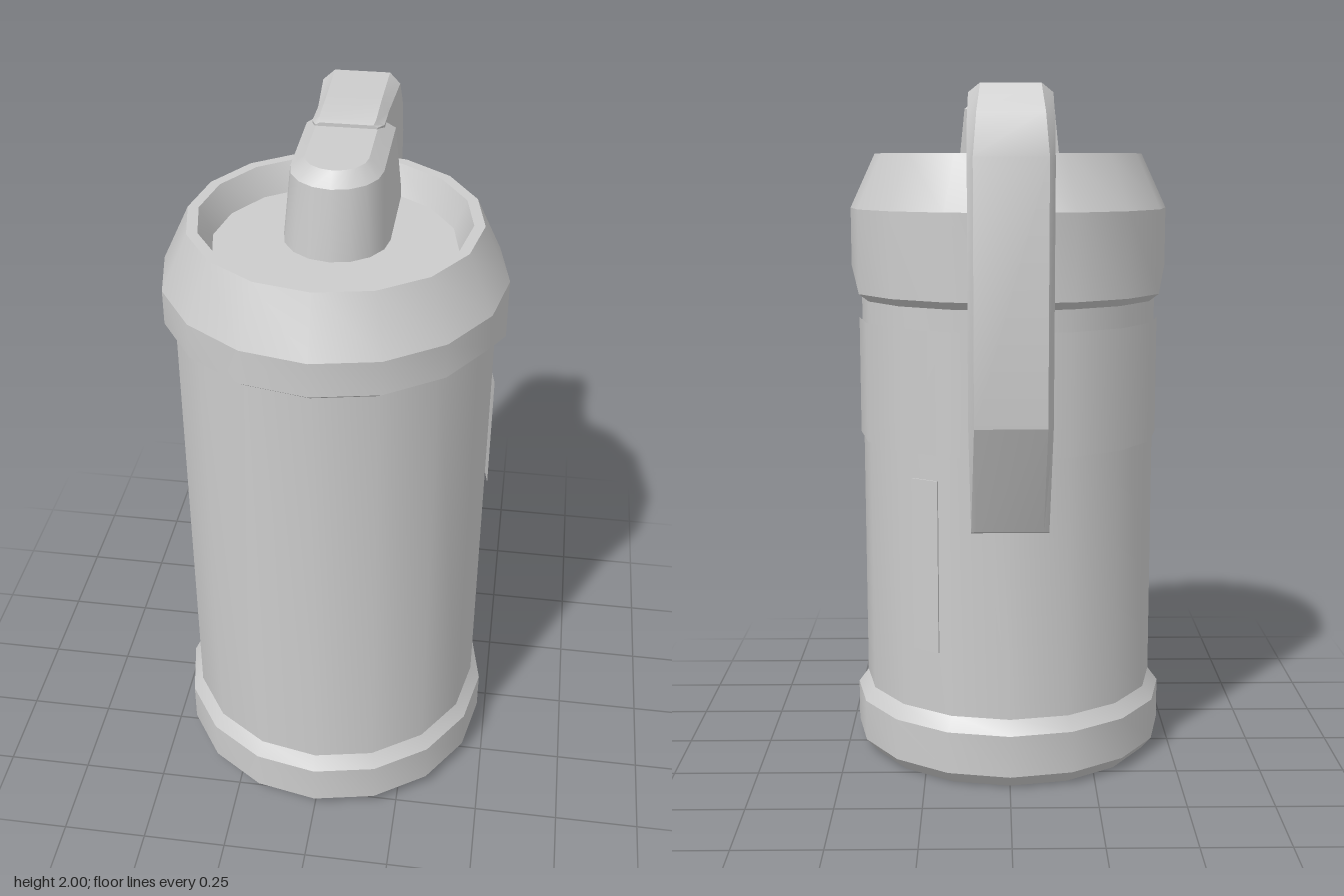
import * as THREE from 'three';
import { toCreasedNormals } from 'three/addons/utils/BufferGeometryUtils.js';

const SIDES = 16;
const AXIS_Z = 0.09; // the round body sits forward of the lever
const CREASE = 0.42;

const grey = new THREE.MeshStandardMaterial({ color: 0xcccccc });
const greyThin = new THREE.MeshStandardMaterial({ color: 0xcccccc, side: THREE.DoubleSide });

function addMesh(group, name, geometry, material = grey) {
  const mesh = new THREE.Mesh(geometry, material);
  mesh.name = name;
  group.add(mesh);
  return mesh;
}

function lathe(profile) {
  return new THREE.LatheGeometry(profile.map(([r, y]) => new THREE.Vector2(r, y)), SIDES);
}

// Skins a list of equal-length closed rings and caps both ends
function loft(rings) {
  const n = rings[0].length;
  const positions = rings.flat(2);
  const index = [];
  for (let i = 0; i < rings.length - 1; i++) {
    for (let j = 0; j < n; j++) {
      const a = i * n + j;
      const b = i * n + (j + 1) % n;
      index.push(a, b, b + n, a, b + n, a + n);
    }
  }
  for (const end of [0, rings.length - 1]) {
    const centre = positions.length / 3;
    for (let k = 0; k < 3; k++) {
      positions.push(rings[end].reduce((sum, p) => sum + p[k], 0) / n);
    }
    for (let j = 0; j < n; j++) {
      const a = end * n + j;
      const b = end * n + (j + 1) % n;
      if (end === 0) index.push(centre, b, a);
      else index.push(centre, a, b);
    }
  }
  const geometry = new THREE.BufferGeometry();
  geometry.setAttribute('position', new THREE.Float32BufferAttribute(positions, 3));
  geometry.setIndex(index);
  return toCreasedNormals(geometry, CREASE);
}

// U-shaped outline: round at the front, square at the back
function knobRing(y, halfWidth, back) {
  const ring = [];
  for (let i = 0; i <= 8; i++) {
    const t = Math.PI * i / 8;
    ring.push([-halfWidth * Math.cos(t), y, 0.05 + halfWidth * Math.sin(t)]);
  }
  ring.push([halfWidth, y, back], [-halfWidth, y, back]);
  return ring;
}

// Lever cross-section between an outer and inner point, outer edges chamfered
function leverRing([outZ, outY, inZ, inY, w, c]) {
  const f = Math.min(0.3, 0.03 / Math.hypot(outZ - inZ, outY - inY));
  const sideY = outY + (inY - outY) * f;
  const sideZ = outZ + (inZ - outZ) * f;
  return [
    [w, inY, inZ], [-w, inY, inZ], [-w, sideY, sideZ],
    [-(w - c), outY, outZ], [w - c, outY, outZ], [w, sideY, sideZ],
  ];
}

export function createModel() {
  const model = new THREE.Group();
  model.name = 'canister';

  // Body with a chamfered foot band
  const body = lathe([
    [0, 0], [0.44, 0], [0.475, 0.04], [0.475, 0.165], [0.445, 0.205], [0.445, 1.6],
  ]);
  addMesh(model, 'body', toCreasedNormals(body, CREASE)).position.z = AXIS_Z;

  // Lid with a recessed top; its lower edge dips towards the back
  const lid = lathe([
    [0.435, 1.53], [0.475, 1.56], [0.475, 1.66], [0.4, 1.82],
    [0.37, 1.82], [0.335, 1.74], [0, 1.74],
  ]);
  const p = lid.attributes.position;
  for (let i = 0; i < p.count; i++) {
    if (p.getY(i) > 1.6) continue;
    const reach = p.getZ(i) / Math.hypot(p.getX(i), p.getZ(i));
    const dip = THREE.MathUtils.clamp((0.383 - reach) / 0.766, 0, 1);
    p.setY(i, p.getY(i) - 0.145 * dip);
  }
  addMesh(model, 'lid', toCreasedNormals(lid, CREASE)).position.z = AXIS_Z;

  // Raised knob on the lid
  addMesh(model, 'knob', loft([
    knobRing(1.73, 0.147, -0.225),
    knobRing(1.94, 0.125, -0.225),
    knobRing(1.975, 0.085, -0.2),
  ]));

  // Lever from the knob over the rim and down the back:
  // outer z, outer y, inner z, inner y, half width, chamfer
  addMesh(model, 'lever', loft([
    [-0.13, 1.985, -0.13, 1.965, 0.085, 0.012],
    [-0.15, 1.992, -0.2, 1.93, 0.1, 0.022],
    [-0.28, 1.996, -0.245, 1.885, 0.1, 0.022],
    [-0.465, 2.0, -0.34, 1.825, 0.112, 0.032],
    [-0.52, 1.925, -0.375, 1.745, 0.115, 0.025],
    [-0.565, 1.81, -0.4, 1.66, 0.115, 0.016],
    [-0.545, 1.095, -0.378, 1.1, 0.115, 0.016],
    [-0.39, 0.775, -0.365, 0.765, 0.11, 0.016],
  ].map(leverRing)));

  // Label wrapped round the back half
  const label = new THREE.CylinderGeometry(
    0.454, 0.454, 0.355, SIDES / 2, 1, true, Math.PI / 2, Math.PI);
  addMesh(model, 'label', label, greyThin).position.set(0, 1.1525, AXIS_Z);

  // Narrow strip on one rear facet
  const angle = Math.PI - 1.5 * Math.PI * 2 / SIDES;
  const strip = addMesh(model, 'strip', new THREE.BoxGeometry(0.09, 0.51, 0.01));
  strip.position.set(Math.sin(angle) * 0.436, 0.645, AXIS_Z + Math.cos(angle) * 0.436);
  strip.rotation.y = angle;

  return model;
}
